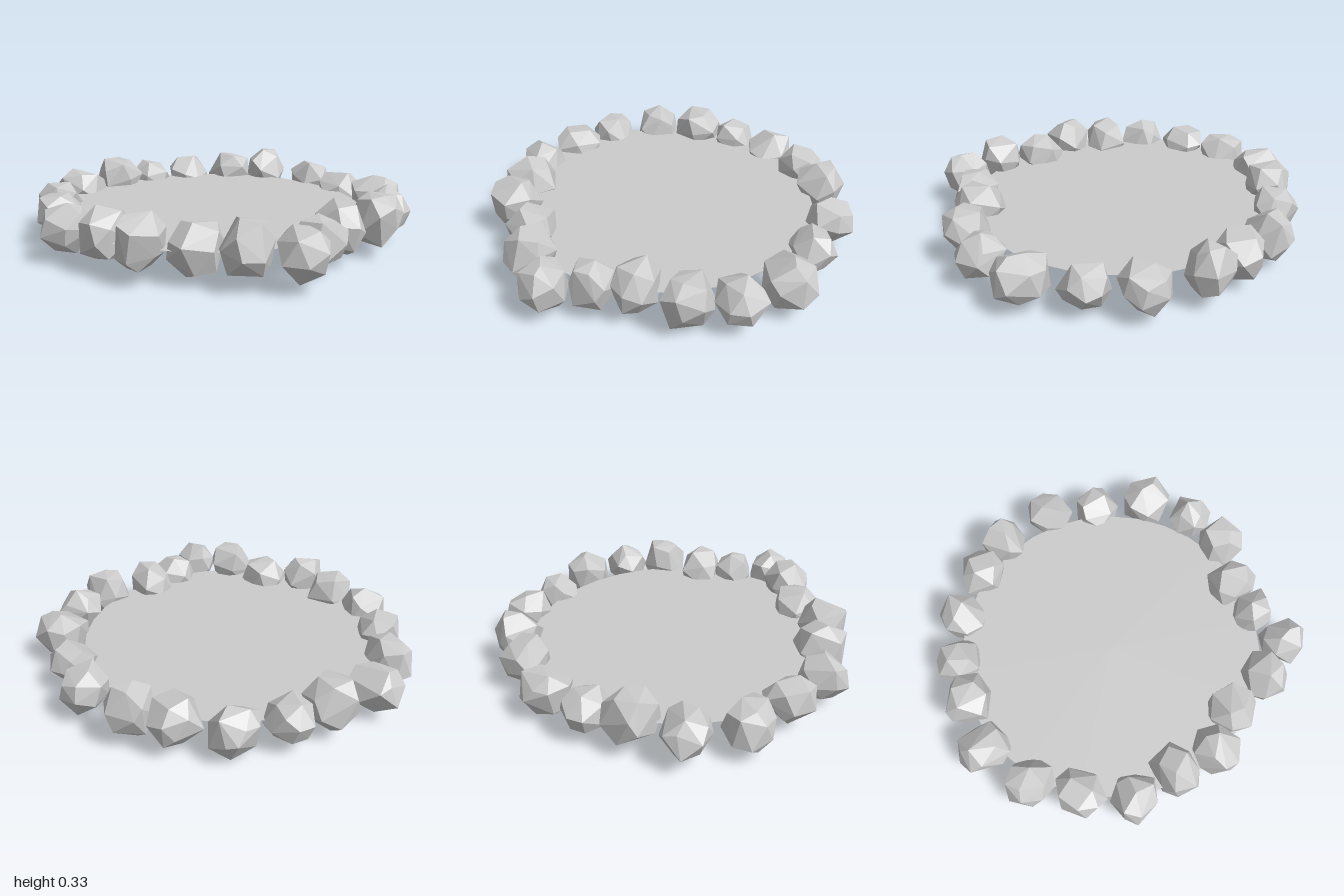
import * as THREE from 'three';
import { ConvexGeometry } from 'three/addons/geometries/ConvexGeometry.js';

// Extents of each stone around the ring: x0, x1, z0, z1, y0, y1
const STONES = [
  [-0.11, 0.12, -0.95, -0.69, 0.05, 0.325],
  [0.19, 0.43, -0.915, -0.66, 0.04, 0.28],
  [0.41, 0.65, -0.75, -0.52, 0.04, 0.26],
  [0.64, 0.91, -0.58, -0.33, 0.05, 0.29],
  [0.745, 1.0, -0.33, -0.085, 0.06, 0.3],
  [0.745, 0.99, -0.095, 0.16, 0.05, 0.305],
  [0.6, 0.855, 0.125, 0.365, 0.05, 0.31],
  [0.565, 0.81, 0.33, 0.55, 0.04, 0.29],
  [0.55, 0.795, 0.55, 0.785, 0.04, 0.3],
  [0.32, 0.555, 0.6, 0.86, 0.06, 0.33],
  [0.07, 0.315, 0.61, 0.865, 0.03, 0.29],
  [-0.15, 0.09, 0.68, 0.945, 0.06, 0.325],
  [-0.365, -0.125, 0.62, 0.88, 0.06, 0.32],
  [-0.6, -0.35, 0.56, 0.8, 0.05, 0.29],
  [-0.79, -0.55, 0.35, 0.605, 0.04, 0.27],
  [-0.95, -0.685, 0.135, 0.38, 0.03, 0.27],
  [-1.0, -0.73, -0.15, 0.095, 0.05, 0.28],
  [-0.885, -0.62, -0.41, -0.13, 0.05, 0.31],
  [-0.77, -0.52, -0.59, -0.36, 0.05, 0.27],
  [-0.58, -0.345, -0.785, -0.53, 0.0, 0.28],
  [-0.35, -0.08, -0.9, -0.65, 0.06, 0.3],
];

function seeded(seed) {
  let s = seed;
  return () => {
    s = (s * 16807) % 2147483647;
    return s / 2147483647;
  };
}

// Faceted boulder: hull of jittered points spread over a sphere, fitted to a box
function boulder([x0, x1, z0, z1, y0, y1], seed) {
  const rand = seeded(seed);
  const count = 18;
  const spin = rand() * Math.PI * 2;
  const tilt = new THREE.Euler(rand() * 3, rand() * 3, rand() * 3);
  const points = [];
  for (let i = 0; i < count; i++) {
    const h = 1 - (2 * i + 1) / count;
    const r = Math.sqrt(1 - h * h);
    const a = spin + i * 2.39996 + (rand() - 0.5) * 0.7;
    const p = new THREE.Vector3(r * Math.cos(a), h, r * Math.sin(a));
    points.push(p.multiplyScalar(0.86 + 0.2 * rand()).applyEuler(tilt));
  }
  const box = new THREE.Box3().setFromPoints(points);
  const size = box.getSize(new THREE.Vector3());
  for (const p of points) {
    p.sub(box.min).divide(size);
    p.set(x0 + p.x * (x1 - x0), y0 + p.y * (y1 - y0), z0 + p.z * (z1 - z0));
  }
  return new ConvexGeometry(points);
}

export function createModel() {
  const model = new THREE.Group();
  model.name = 'stoneRing';

  // Ring of stones
  const stoneMaterial = new THREE.MeshStandardMaterial({ color: 0xcccccc, flatShading: true });
  const ring = new THREE.Group();
  ring.name = 'stones';
  STONES.forEach((extents, i) => {
    const stone = new THREE.Mesh(boulder(extents, 7919 * (i + 3)), stoneMaterial);
    stone.name = `stone${i + 1}`;
    ring.add(stone);
  });
  model.add(ring);

  // Flat surface enclosed by the stones
  const surface = new THREE.Mesh(
    new THREE.CircleGeometry(0.8, 32).rotateX(-Math.PI / 2),
    new THREE.MeshStandardMaterial({ color: 0xcccccc, side: THREE.DoubleSide })
  );
  surface.name = 'surface';
  surface.position.set(-0.01, 0.165, 0.04);
  model.add(surface);

  return model;
}
